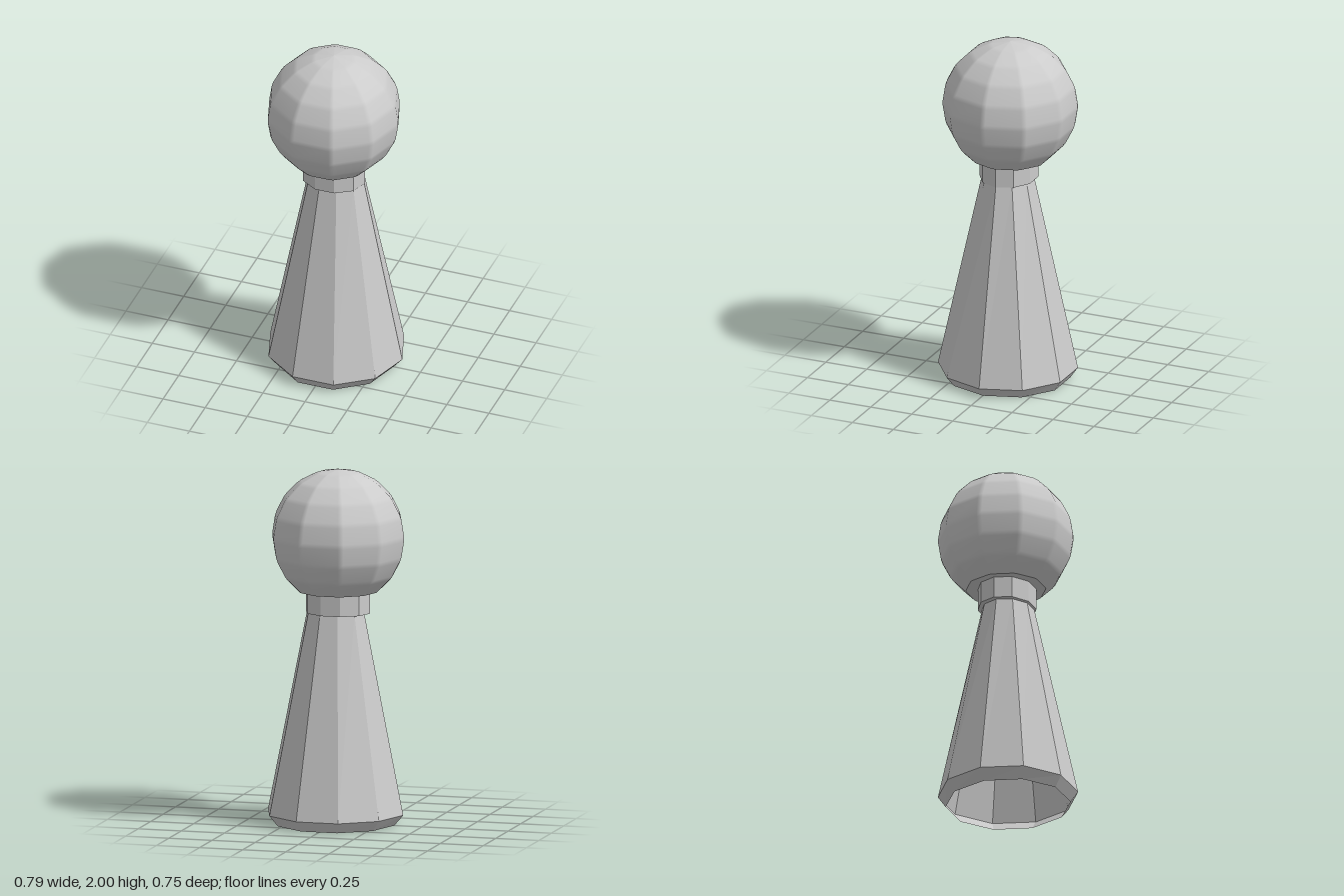
import * as THREE from 'three';

const SIDES = 10;

// unit decagon with corners on the x axis
const decagon = Array.from({ length: SIDES }, (_, i) => {
  const a = Math.PI / 2 + (i * 2 * Math.PI) / SIDES;
  return [Math.sin(a), Math.cos(a)];
});

const mix = (p, q, t) => p.map((v, k) => v + (q[k] - v) * t);

// replaces each corner of a polyline by two points close to it
function chamfer(points, t, closed) {
  const n = points.length;
  return points.flatMap((p, i) => {
    if (!closed && (i === 0 || i === n - 1)) return [p];
    return [mix(p, points[(i - 1 + n) % n], t), mix(p, points[(i + 1) % n], t)];
  });
}

// skin through rings stacked from bottom to top; ring = [radiusX, y, radiusZ, centreX]
function loft(rings, outline) {
  const n = outline.length;
  const positions = [];
  const index = [];
  for (const [rx, y, rz = rx, cx = 0] of rings) {
    for (const [x, z] of outline) positions.push(cx + x * rx, y, z * rz);
  }
  for (let j = 0; j < rings.length - 1; j++) {
    for (let i = 0; i < n; i++) {
      const a = j * n + i;
      const b = j * n + ((i + 1) % n);
      index.push(a, b, b + n, a, b + n, a + n);
    }
  }
  const geometry = new THREE.BufferGeometry();
  geometry.setAttribute('position', new THREE.Float32BufferAttribute(positions, 3));
  geometry.setIndex(index);
  geometry.computeVertexNormals();
  return geometry;
}

export function createModel() {
  const group = new THREE.Group();
  const flat = new THREE.MeshStandardMaterial({ color: 0xcccccc, flatShading: true, side: THREE.DoubleSide });
  const smooth = new THREE.MeshStandardMaterial({ color: 0xcccccc, side: THREE.DoubleSide });
  const add = (name, geometry, material) => {
    const mesh = new THREE.Mesh(geometry, material);
    mesh.name = name;
    group.add(mesh);
    return mesh;
  };

  // hollow tapering body, open below, with a bevelled foot
  add('body', loft([
    [0.34, 0, 0.35],
    [0.392, 0.06],
    [0.166, 1.19, 0.145],
  ], decagon), flat);

  // slightly oval collar with a small ledge under it
  add('collar', loft([
    [0.15, 1.19, 0.13],
    [0.185, 1.19, 0.161, -0.013],
    [0.185, 1.315, 0.161, -0.013],
  ], decagon), flat);

  // faceted ball with softly bevelled edges, cut off at the neck
  const R = 0.384;
  const profile = [];
  for (let deg = -54; deg <= 90; deg += 18) {
    const a = THREE.MathUtils.degToRad(deg);
    profile.push([R * Math.cos(a), 0.38 * Math.sin(a)]);
  }
  const outline = chamfer(decagon, 0.07, true);
  const head = add('head', loft(chamfer(profile, 0.12, false), outline), smooth);
  head.position.set(-0.017, 1.62, -0.006);

  // flat underside of the ball
  const underside = add('headUnderside', loft([
    [0.14, profile[0][1]],
    profile[0],
  ], outline), flat);
  underside.position.copy(head.position);

  return group;
}
